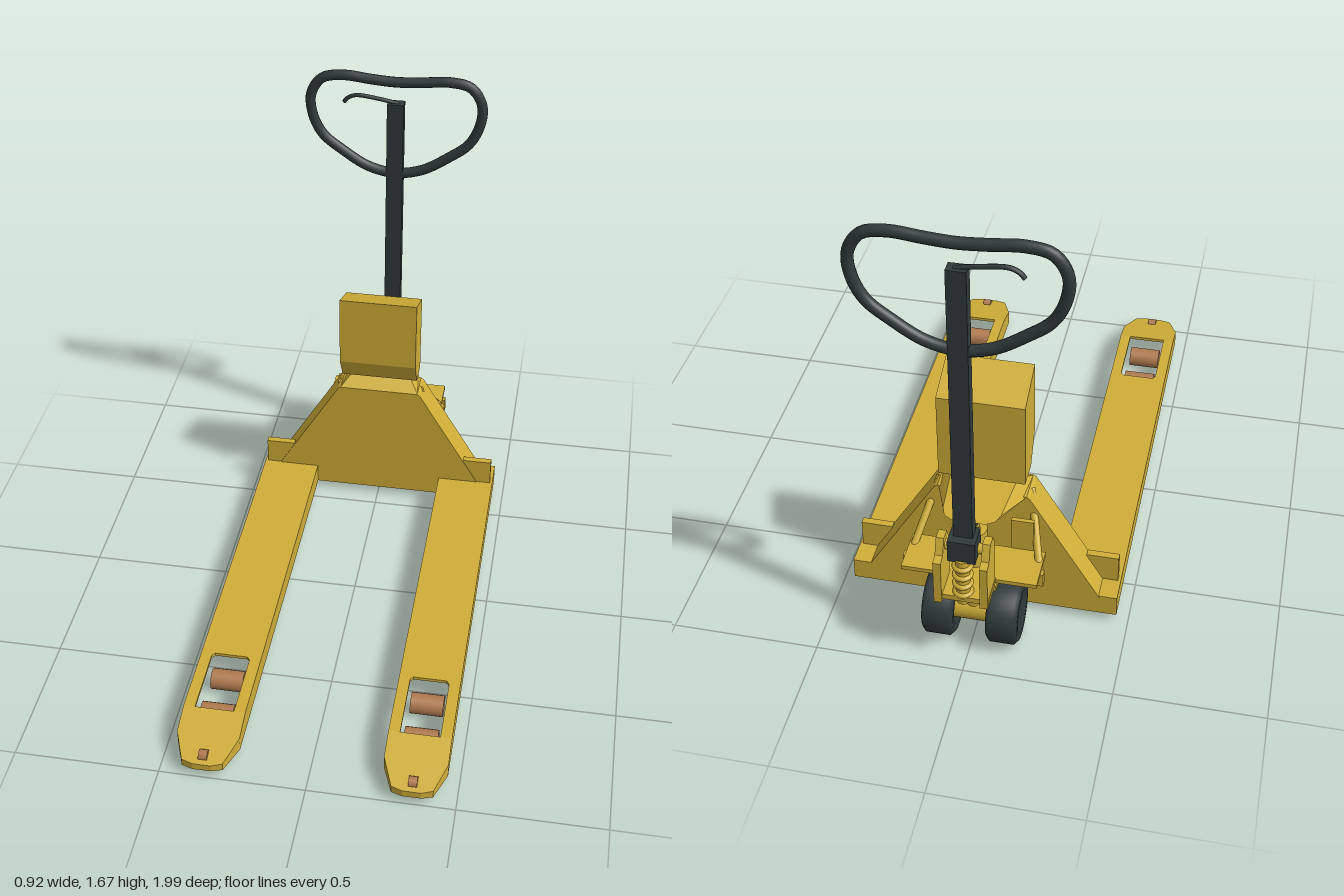
import * as THREE from 'three';
import { ConvexGeometry } from 'three/addons/geometries/ConvexGeometry.js';

const V = (x, y, z) => new THREE.Vector3(x, y, z);

export function createModel() {
  const model = new THREE.Group();
  model.name = 'palletTruck';
  const material = (name, color) => {
    const m = new THREE.MeshStandardMaterial({ color });
    m.name = name;
    return m;
  };
  const yellow = material('yellow paint', 0xd0ae38);
  const dark = material('dark rubber and steel', 0x30393a);
  const brown = material('brown roller', 0xb07a50);

  const add = (name, geometry, mat, x = 0, y = 0, z = 0) => {
    const mesh = new THREE.Mesh(geometry, mat);
    mesh.name = name;
    mesh.position.set(x, y, z);
    model.add(mesh);
    return mesh;
  };
  // Box given by its min and max on each axis
  const box = (name, mat, x0, x1, y0, y1, z0, z1) =>
    add(name, new THREE.BoxGeometry(x1 - x0, y1 - y0, z1 - z0), mat,
      (x0 + x1) / 2, (y0 + y1) / 2, (z0 + z1) / 2);
  const shapeOf = (pts) => new THREE.Shape(pts.map(([a, b]) => new THREE.Vector2(a, b)));
  const extrude = (shape, depth) =>
    new THREE.ExtrudeGeometry(shape, { depth, bevelEnabled: false, curveSegments: 6 });
  // Plan shape (x, z) standing between two heights
  const plan = (shape, y0, y1) => extrude(shape, y1 - y0).rotateX(Math.PI / 2).translate(0, y1, 0);
  // Side profile (z, y) spanning x0 to x1
  const side = (pts, x0, x1) => extrude(shapeOf(pts), x1 - x0).rotateY(-Math.PI / 2).translate(x1, 0, 0);
  const rollerX = (r, length, segments = 24) =>
    new THREE.CylinderGeometry(r, r, length, segments).rotateZ(Math.PI / 2);
  const column = (name, mat, r, y0, y1, z, x = 0) =>
    add(name, new THREE.CylinderGeometry(r, r, y1 - y0, 24), mat, x, (y0 + y1) / 2, z);
  const rod = (name, mat, a, b, r) => {
    const mesh = add(name, new THREE.CylinderGeometry(r, r, a.distanceTo(b), 12), mat);
    mesh.position.copy(a).add(b).multiplyScalar(0.5);
    mesh.quaternion.setFromUnitVectors(V(0, 1, 0), b.clone().sub(a).normalize());
  };

  // Forks: open channel walls, a top sheet notched for the rollers, and a sloping nose
  const bend = 0.79;
  const slopeNose = (geometry, yMin) => {
    const p = geometry.attributes.position;
    for (let i = 0; i < p.count; i++) {
      const over = p.getZ(i) - bend;
      if (over > 0 && p.getY(i) > yMin) p.setY(i, p.getY(i) - over * 0.25);
    }
    geometry.computeVertexNormals();
    return geometry;
  };
  const outline = (w, zBack, zSide, zTip, tip) => [
    [-w, zBack], [w, zBack], [w, bend], [w, zSide], [tip, zTip - 0.012], [tip * 0.45, zTip],
    [-tip * 0.45, zTip], [-tip, zTip - 0.012], [-w, zSide], [-w, bend],
  ];
  const wallShape = shapeOf(outline(0.1075, -0.6, 0.885, 0.995, 0.07));
  wallShape.holes.push(shapeOf(outline(0.095, -0.59, 0.88, 0.98, 0.06)));
  const sheetShape = shapeOf([
    [-0.1075, -0.6], [0.1075, -0.6], [0.1075, bend], [0.068, bend], [0.068, 0.545], [0.058, 0.532],
    [-0.058, 0.532], [-0.068, 0.545], [-0.068, bend], [-0.1075, bend],
  ]);
  const noseShape = shapeOf(outline(0.1075, bend, 0.885, 0.995, 0.07));
  for (const s of [-1, 1]) {
    const x = s * 0.3525;
    add('forkWalls', slopeNose(plan(wallShape, 0.028, 0.1), 0.06), yellow, x);
    add('forkTop', plan(sheetShape, 0.093, 0.105), yellow, x);
    add('forkNose', slopeNose(plan(noseShape, 0.093, 0.105), 0), yellow, x);
    for (const z of [0.588, 0.748]) {
      add('loadRoller', rollerX(0.037, 0.115), brown, x, 0.037, z);
    }
    add('tipRoller', rollerX(0.02, 0.03, 16), brown, x, 0.058, 0.957);
    box('stopPlate', yellow, x - 0.0525 + (s > 0 ? 0.04 : -0.045), x + 0.0525 + (s > 0 ? 0.045 : -0.04),
      0.1, 0.205, -0.595, -0.57);
  }

  // Cross frame and tapered mast housing
  box('crossBar', yellow, -0.46, 0.46, 0.028, 0.105, -0.68, -0.568);
  add('mastHousing', extrude(shapeOf([
    [-0.4, 0.1], [0.4, 0.1], [0.16, 0.5], [0.15, 0.507], [-0.15, 0.507], [-0.16, 0.5],
  ]), 0.115).translate(0, 0, -0.682), yellow);
  const coverPoints = [];
  for (const s of [-1, 1]) {
    coverPoints.push(V(s * 0.152, 0.505, -0.568), V(s * 0.145, 0.5, -0.68), V(s * 0.112, 0.542, -0.63),
      V(s * 0.095, 0.542, -0.82), V(s * 0.083, 0.542, -0.853), V(s * 0.055, 0.542, -0.87));
  }
  add('topCover', new ConvexGeometry(coverPoints), yellow);

  // Control box above the housing
  add('controlBox', side([
    [-0.525, 0.935], [-0.525, 0.66], [-0.585, 0.56], [-0.68, 0.56], [-0.68, 0.873],
  ], -0.145, 0.145), yellow);

  // Hydraulic pump with its carrier plate
  const pumpZ = -0.807;
  column('steeringPost', yellow, 0.04, 0.11, 0.28, pumpZ);
  column('pumpBase', yellow, 0.06, 0.24, 0.29, pumpZ);
  column('pumpCylinder', yellow, 0.046, 0.28, 0.462, pumpZ);
  column('pumpCap', yellow, 0.022, 0.46, 0.478, pumpZ);
  column('pumpRam', dark, 0.016, 0.47, 0.54, pumpZ);
  box('carrierPlate', yellow, -0.225, 0.225, 0.312, 0.327, -0.89, -0.735);
  box('uprightPlate', yellow, -0.185, -0.11, 0.32, 0.45, -0.737, -0.722);
  box('pumpFoot', yellow, -0.09, 0.09, 0.268, 0.29, -0.885, -0.735);
  box('bracketShelf', yellow, -0.09, 0.09, 0.31, 0.33, -0.99, -0.88);

  // Tiller bracket: two cheeks around a spring column
  const cheek = [
    [-0.885, 0.32], [-0.885, 0.49], [-0.905, 0.528], [-0.945, 0.53], [-0.967, 0.475],
    [-0.998, 0.468], [-0.998, 0.3], [-0.955, 0.295],
  ];
  for (const s of [-1, 1]) {
    add('bracketCheek', side(cheek, s * 0.075 - 0.013, s * 0.075 + 0.013), yellow);
    // Diagonal brace to the housing
    rod('brace', yellow, V(s * 0.155, 0.495, -0.62), V(s * 0.225, 0.27, -0.82), 0.013);
    box('braceFoot', yellow, s * 0.215 - 0.02, s * 0.215 + 0.02, 0.265, 0.315, -0.83, -0.805);
  }
  column('springColumn', yellow, 0.024, 0.29, 0.47, -0.96);
  for (let i = 0; i < 4; i++) {
    add('springRing', new THREE.TorusGeometry(0.026, 0.009, 8, 20).rotateX(Math.PI / 2),
      yellow, 0, 0.33 + i * 0.037, -0.96);
  }
  add('pivotPin', rollerX(0.018, 0.17, 16), yellow, 0, 0.49, -0.925);
  box('tillerSocket', dark, -0.045, 0.045, 0.465, 0.548, -0.975, -0.893);

  // Steering wheels with a recessed disc on each face
  add('axle', rollerX(0.05, 0.13), yellow, 0, 0.112, pumpZ);
  const wheelProfile = [
    [0, -0.045], [0.07, -0.045], [0.073, -0.053], [0.097, -0.053], [0.112, -0.04],
    [0.112, 0.04], [0.097, 0.053], [0.073, 0.053], [0.07, 0.045], [0, 0.045],
  ].map(([r, h]) => new THREE.Vector2(r, h));
  for (const s of [-1, 1]) {
    add('steeringWheel', new THREE.LatheGeometry(wheelProfile, 36).rotateZ(Math.PI / 2),
      dark, s * 0.108, 0.112, pumpZ);
  }

  // Tiller, looped handle and release lever
  const tillerZ = -0.925;
  box('tiller', dark, -0.031, 0.031, 0.5, 1.556, tillerZ - 0.021, tillerZ + 0.021);
  const half = [
    [0.09, 1.643], [0.2, 1.652], [0.275, 1.635], [0.316, 1.57], [0.312, 1.49],
    [0.275, 1.41], [0.2, 1.348], [0.1, 1.287],
  ];
  const loop = [
    [0, 1.638], ...half, [0, 1.267], ...half.slice().reverse().map(([x, y]) => [-x, y]),
  ].map(([x, y]) => V(x, y, tillerZ));
  add('handleLoop', new THREE.TubeGeometry(new THREE.CatmullRomCurve3(loop, true), 96, 0.019, 12, true), dark);
  const lever = [[0.01, 1.553], [-0.07, 1.568], [-0.15, 1.575], [-0.18, 1.562], [-0.194, 1.545]]
    .map(([x, y]) => V(x, y, tillerZ));
  add('releaseLever', new THREE.TubeGeometry(new THREE.CatmullRomCurve3(lever), 24, 0.008, 8), dark);

  return model;
}
